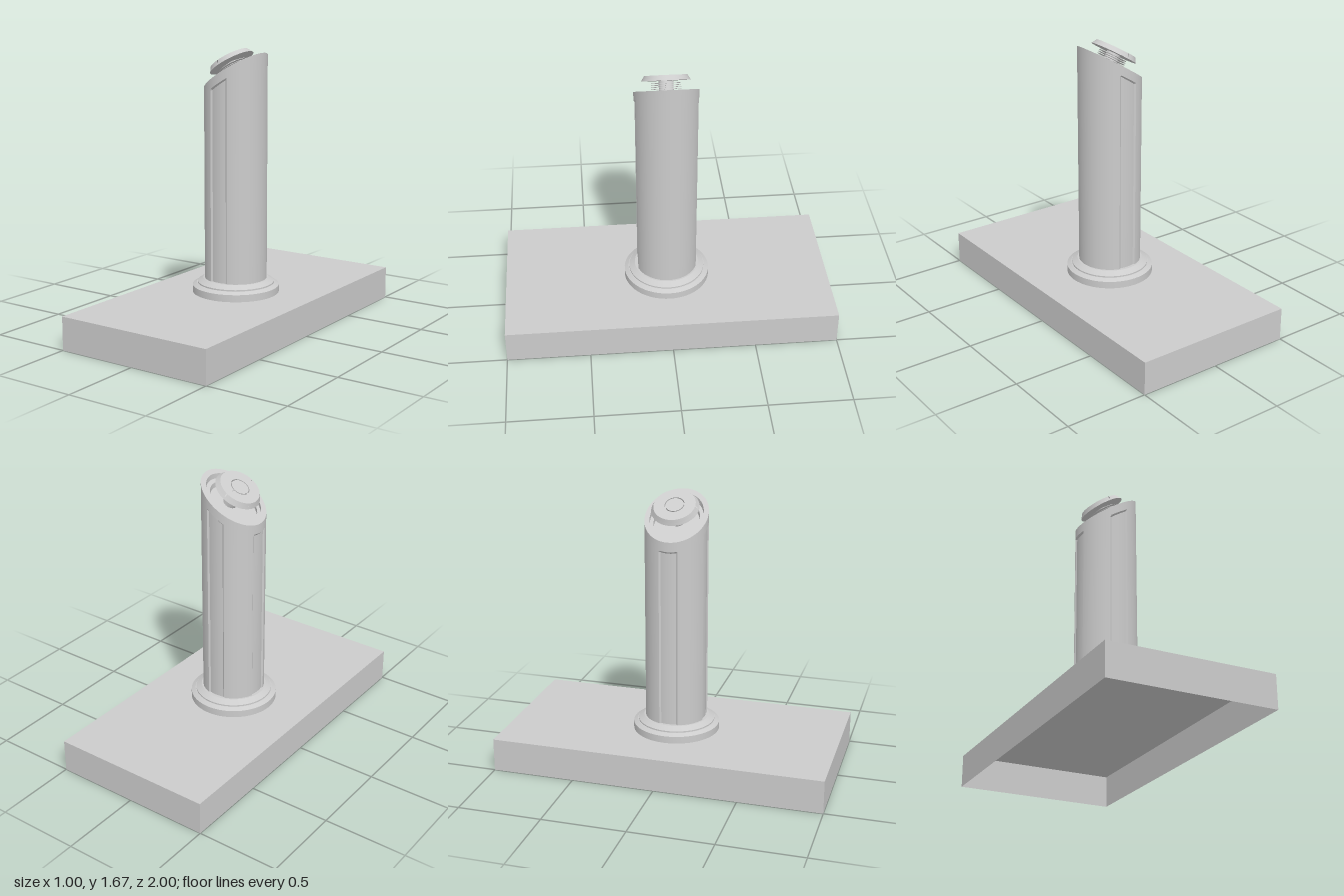
import * as THREE from 'three';
import { toCreasedNormals } from 'three/addons/utils/BufferGeometryUtils.js';

const TILT = Math.atan(0.62);            // slope of the cut top
const CUT_Y = 1.53;                      // height of the cut on the axis
const R = 0.187;

const grey = (side = THREE.FrontSide) => new THREE.MeshStandardMaterial({ color: 0xcccccc, side });

function add(parent, name, geometry, side) {
  const mesh = new THREE.Mesh(geometry, grey(side));
  mesh.name = name;
  parent.add(mesh);
  return mesh;
}

function lathe(points, segments = 64, start = 0, length = Math.PI * 2) {
  const profile = points.map(([r, y]) => new THREE.Vector2(r, y));
  return toCreasedNormals(new THREE.LatheGeometry(profile, segments, start, length), 0.3);
}

// Post wall, rim and stepped socket, swept as rings that follow the sloping cut
function postGeometry() {
  const panels = [0, Math.PI, Math.PI * 1.5];   // front, back and right-hand panels
  const outer = 0.31, inner = 0.265;
  const angles = [];
  for (let i = 0; i < 72; i++) angles.push((i / 72) * Math.PI * 2);
  for (const p of panels) {
    for (const d of [-outer, -inner, inner, outer]) angles.push((p + d + Math.PI * 2) % (Math.PI * 2));
  }
  angles.sort((a, b) => a - b);

  const gap = (a, p) => Math.abs(Math.atan2(Math.sin(a - p), Math.cos(a - p)));
  const recessed = (a) => {
    const d = Math.min(...panels.map((p) => gap(a, p)));
    return R - 0.009 * THREE.MathUtils.clamp((outer - d) / (outer - inner), 0, 1);
  };
  const cut = (a) => CUT_Y + 0.62 * R * Math.sin(a);
  const onSlope = (r, drop) => (a) => [r, CUT_Y + 0.62 * r * Math.sin(a) - drop];
  const rings = [
    (a) => [recessed(a), 0.25],
    (a) => [recessed(a), cut(a) - 0.067],
    (a) => [R, cut(a) - 0.057],
    onSlope(R, 0),
    onSlope(0.157, 0),
    onSlope(0.157, 0.03),
    onSlope(0.135, 0.03),
    onSlope(0.135, 0.06),
    onSlope(0.002, 0.06),
  ];

  const n = angles.length;
  const position = [], index = [];
  for (const ring of rings) {
    for (const a of angles) {
      const [r, y] = ring(a);
      position.push(r * Math.sin(a), y, r * Math.cos(a));
    }
  }
  for (let i = 0; i < rings.length - 1; i++) {
    for (let j = 0; j < n; j++) {
      const k = (j + 1) % n;
      const a = i * n + j, b = i * n + k, c = b + n, d = a + n;
      index.push(a, b, c, a, c, d);
    }
  }
  const geometry = new THREE.BufferGeometry();
  geometry.setAttribute('position', new THREE.Float32BufferAttribute(position, 3));
  geometry.setIndex(index);
  return toCreasedNormals(geometry, 0.4);
}

export function createModel() {
  const model = new THREE.Group();
  model.name = 'buttonPost';

  // Slab, open underneath
  const slab = new THREE.BoxGeometry(1, 0.2, 2);
  const faces = Array.from(slab.index.array);
  faces.splice(18, 6);
  slab.setIndex(faces);
  slab.clearGroups();
  add(model, 'baseSlab', slab, THREE.DoubleSide).position.y = 0.1;

  // Stepped collar round the foot of the post
  add(model, 'collar', lathe([
    [0.261, 0.2], [0.261, 0.243], [0.236, 0.257], [0.231, 0.257],
    [0.231, 0.265], [0.226, 0.268], [0.197, 0.286], [0.172, 0.286],
  ]));

  add(model, 'post', postGeometry());

  // Button assembly, square to the sloping cut
  const button = new THREE.Group();
  button.name = 'button';
  button.position.y = CUT_Y;
  button.rotation.z = TILT;
  model.add(button);

  const stem = add(button, 'stem', new THREE.CylinderGeometry(0.042, 0.042, 0.115, 32));
  stem.position.y = 0.0;

  for (let i = 0; i < 4; i++) {
    const fin = add(button, 'stemRing', new THREE.CylinderGeometry(0.085, 0.085, 0.003, 48));
    fin.position.y = 0.008 + i * 0.011;
  }

  // Cap: backing plate, two half rings and a centre disc with fine gaps between
  add(button, 'capPlate', lathe([[0, 0.055], [0.141, 0.055], [0.133, 0.068], [0, 0.068]]));
  for (const start of [0, Math.PI]) {
    add(button, 'capHalf', lathe([
      [0.133, 0.068], [0.123, 0.085], [0.058, 0.085], [0.058, 0.068],
    ], 32, start + 0.025, Math.PI - 0.05), THREE.DoubleSide);
  }
  add(button, 'capCentre', lathe([[0.052, 0.068], [0.052, 0.085], [0, 0.085]]));

  return model;
}
